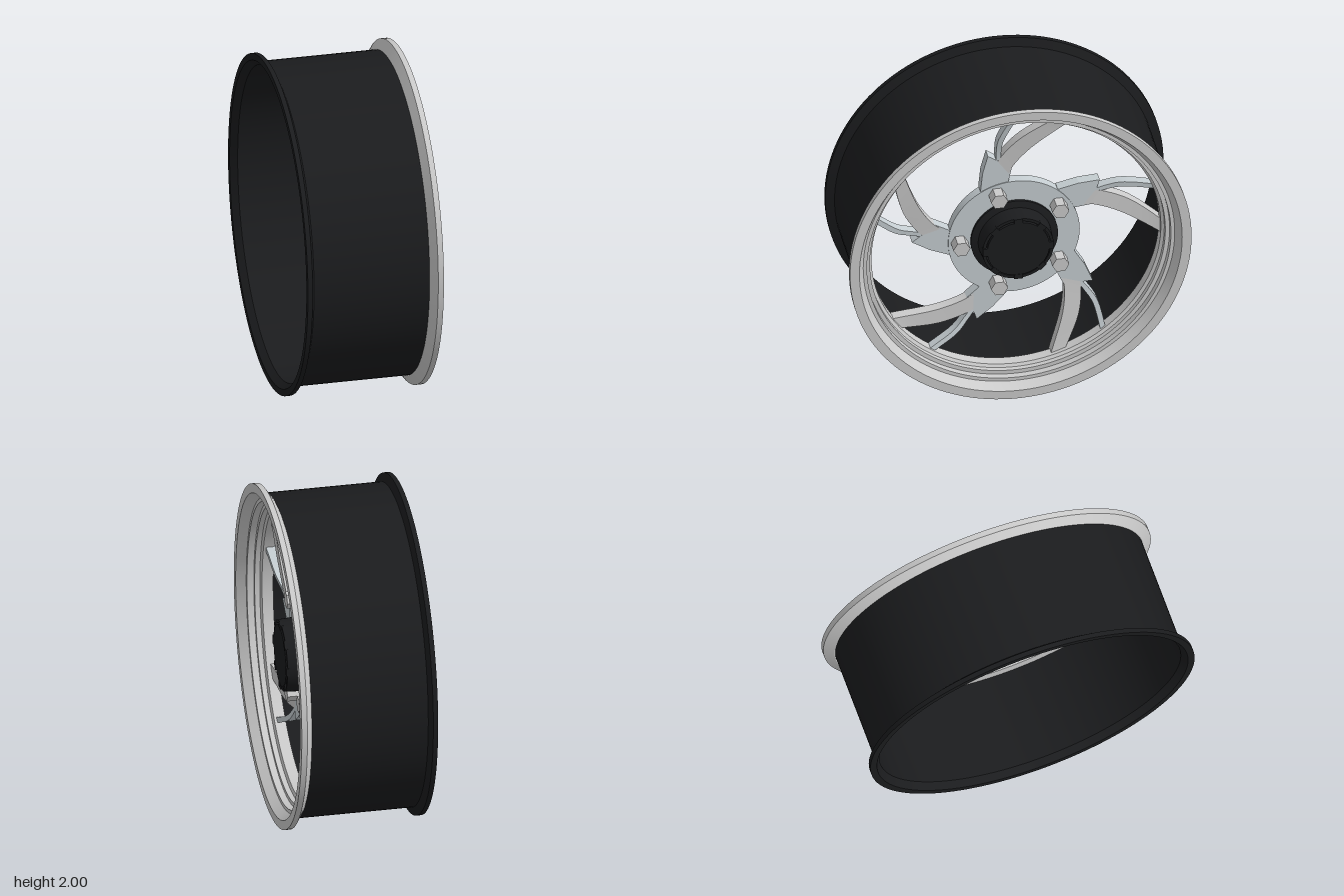
import * as THREE from 'three';
import { toCreasedNormals } from 'three/addons/utils/BufferGeometryUtils.js';

const material = (color) => new THREE.MeshStandardMaterial({ color });
const V2 = (p) => new THREE.Vector2(p[0], p[1]);

// Turned part around the z axis; profile points are [radius, z], counter-clockwise
function turned(profile, segments = 96) {
  const geo = new THREE.LatheGeometry(profile.map(V2), segments);
  geo.rotateX(Math.PI / 2);
  return toCreasedNormals(geo, 0.4);
}

// Curved bar with a four-sided section between two edge curves.
// front and back give [start, end] depth along the bar.
function bar(edgeA, edgeB, front, back, steps = 14) {
  const curveA = new THREE.SplineCurve(edgeA.map(V2));
  const curveB = new THREE.SplineCurve(edgeB.map(V2));
  const pos = [], idx = [];
  for (let s = 0; s <= steps; s++) {
    const t = s / steps;
    const a = curveA.getPoint(t), b = curveB.getPoint(t);
    const f = THREE.MathUtils.lerp(front[0], front[1], t * t);
    const k = THREE.MathUtils.lerp(back[0], back[1], t * t);
    pos.push(a.x, a.y, f, b.x, b.y, f, b.x, b.y, k, a.x, a.y, k);
    if (s === steps) continue;
    for (let i = 0; i < 4; i++) {
      const p = s * 4 + i, q = s * 4 + (i + 1) % 4;
      idx.push(p, q, q + 4, p, q + 4, p + 4);
    }
  }
  const e = steps * 4;
  idx.push(0, 3, 2, 0, 2, 1, e, e + 1, e + 2, e, e + 2, e + 3);
  const geo = new THREE.BufferGeometry();
  geo.setAttribute('position', new THREE.Float32BufferAttribute(pos, 3));
  geo.setIndex(idx);
  return toCreasedNormals(geo, 0.5);
}

export function createModel() {
  const model = new THREE.Group();
  model.name = 'wheel';
  // Built facing +z, then turned so the wheel face looks along +x
  const wheel = new THREE.Group();
  wheel.name = 'wheelAssembly';
  wheel.rotation.y = Math.PI / 2;
  wheel.position.y = 1;
  model.add(wheel);

  const black = material(0x1b1c1e);
  const grey = material(0xcccccc);
  const silver = material(0xc6ced2);

  const add = (name, geo, mat, parent = wheel) => {
    const mesh = new THREE.Mesh(geo, mat);
    mesh.name = name;
    parent.add(mesh);
    return mesh;
  };

  // Barrel with its rear flange
  add('barrel', turned([
    [0.95, -0.4], [0.99, -0.4], [0.99, -0.372], [0.94, -0.352], [0.94, 0.335],
    [0.92, 0.335], [0.92, -0.36], [0.95, -0.4],
  ], 128), black);

  // Stepped front lip
  add('rimLip', turned([
    [0.925, 0.2], [0.938, 0.33], [0.945, 0.33], [1.0, 0.367], [1.0, 0.4],
    [0.945, 0.4], [0.912, 0.345], [0.89, 0.345], [0.89, 0.305], [0.865, 0.305],
    [0.865, 0.275], [0.847, 0.265], [0.847, 0.2], [0.925, 0.2],
  ], 128), grey);

  // Hub disc
  add('hub', turned([[0, 0.14], [0.385, 0.14], [0.385, 0.2], [0, 0.2]]), silver);

  // Centre cap: base ring, body, raised end and tabs
  const cap = new THREE.Group();
  cap.name = 'centreCap';
  wheel.add(cap);
  add('capBody', turned([
    [0, 0.19], [0.255, 0.19], [0.255, 0.215], [0.215, 0.225], [0.208, 0.325], [0.19, 0.325],
    [0.19, 0.31], [0.182, 0.31], [0.182, 0.33], [0, 0.33],
  ], 64), black, cap);
  for (let i = 0; i < 8; i++) {
    const a = i * Math.PI / 4;
    const tab = add('capTab', new THREE.BoxGeometry(0.03, 0.05, 0.035), black, cap);
    tab.position.set(0.193 * Math.cos(a), 0.193 * Math.sin(a), 0.315);
    tab.rotation.z = a;
  }

  // Spoke geometry, shared by all five
  const root = new THREE.Shape([
    [0.2, 0.2], [0.257, 0.289], [0.38, 0.316], [0.503, 0.323], [0.48, 0.25],
    [0.535, 0.235], [0.46, 0.16], [0.315, 0.145], [0.25, 0.1],
  ].map(V2));
  const rootGeo = new THREE.ExtrudeGeometry(root, { depth: 0.065, bevelEnabled: false });
  rootGeo.translate(0, 0, 0.13);
  const branchGeo = bar(
    [[0.42, 0.262], [0.535, 0.24], [0.69, 0.166], [0.87, 0.015]],
    [[0.36, 0.15], [0.46, 0.16], [0.636, 0.088], [0.86, -0.065]],
    [0.193, 0.245], [0.132, 0.18]);
  const finGeo = bar(
    [[0.44, 0.25], [0.54, 0.285], [0.65, 0.307], [0.83, 0.287]],
    [[0.44, 0.225], [0.54, 0.255], [0.65, 0.275], [0.835, 0.255]],
    [0.192, 0.26], [0.135, 0.205]);
  const boltGeo = new THREE.CylinderGeometry(0.05, 0.05, 0.08, 6).toNonIndexed();
  boltGeo.rotateX(Math.PI / 2).rotateZ(Math.PI / 2);
  const boltFlat = toCreasedNormals(boltGeo, 0.3);

  // Five spokes and wheel bolts
  for (let i = 0; i < 5; i++) {
    const turn = i * Math.PI * 2 / 5;
    const spoke = new THREE.Group();
    spoke.name = 'spoke';
    spoke.rotation.z = turn;
    wheel.add(spoke);
    add('spokeRoot', rootGeo, silver, spoke);
    add('spokeBranch', branchGeo, grey, spoke);
    add('spokeFin', finGeo, silver, spoke);

    const a = turn + Math.PI / 5;
    add('wheelBolt', boltFlat, grey).position.set(0.32 * Math.cos(a), 0.32 * Math.sin(a), 0.235);
  }
  return model;
}
